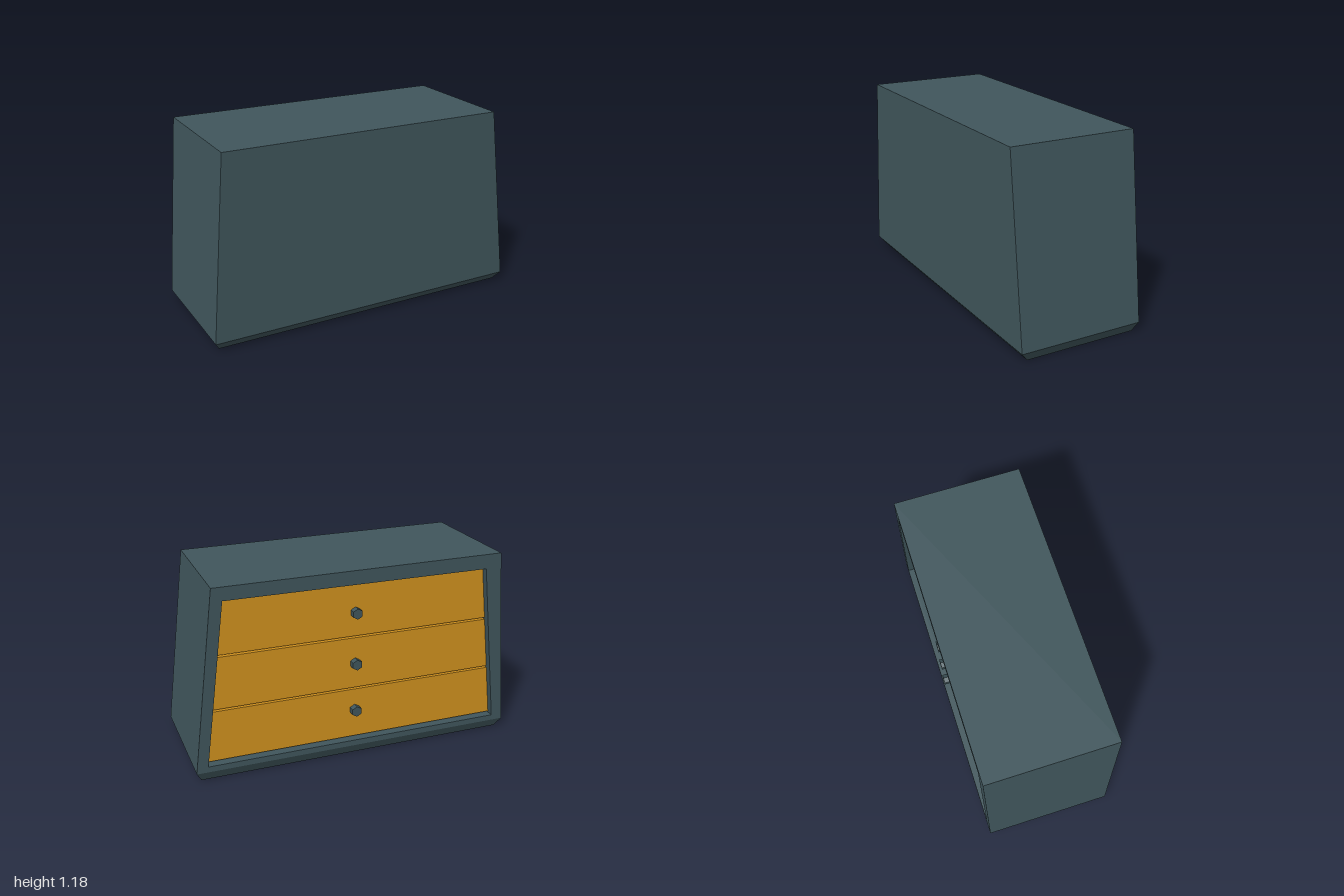
import * as THREE from 'three';

const slate = new THREE.MeshStandardMaterial({ color: 0x40565c, flatShading: true });
const amber = new THREE.MeshStandardMaterial({ color: 0xd0911e, flatShading: true });

const BACK = -0.39, FACE = -0.35, DEEP = -0.3;

// Flat panels from quads whose corners run anticlockwise seen from outside
function panels(quads) {
  const pos = quads.flatMap(([a, b, c, d]) => [a, b, c, a, c, d]).flat();
  const geo = new THREE.BufferGeometry();
  geo.setAttribute('position', new THREE.Float32BufferAttribute(pos, 3));
  geo.computeVertexNormals();
  return geo;
}

// Four corners of a level, anticlockwise from above
const level = (xr, xl, zf, zb, yr, yl = yr) =>
  [[xr, yr, zf], [xl, yl, zf], [xl, yl, zb], [xr, yr, zb]];

// Band of four quads joining two corner loops
const band = (lo, hi) => lo.map((p, i) => {
  const j = (i + 1) % 4;
  return [p, lo[j], hi[j], hi[i]];
});

// Slanted sides of the drawer opening
const OPEN_LOW = 0.095, OPEN_HIGH = 1.09;
const along = (a, b, y) => a + (b - a) * (y - OPEN_LOW) / (OPEN_HIGH - OPEN_LOW);
const leftEdge = y => along(0.93, 0.8, y);
const rightEdge = y => along(-0.925, -0.815, y);

function cabinet() {
  const foot = level(-0.965, 0.97, 0.34, -0.36, 0);
  const base = level(-1, 1, 0.39, BACK, 0.06);
  const top = level(-0.91, 0.86, 0.39, BACK, 1.18, 1.17);
  const opening = z => [
    [leftEdge(OPEN_LOW), OPEN_LOW, z], [rightEdge(OPEN_LOW), OPEN_LOW, z],
    [rightEdge(OPEN_HIGH), OPEN_HIGH, z], [leftEdge(OPEN_HIGH), OPEN_HIGH, z]];
  const walls = band(base, top).filter((q, i) => i !== 2);
  const rim = [base[2], base[3], top[3], top[2]];
  return panels([
    [...foot].reverse(), ...band(foot, base), ...walls, top,
    ...band(rim, opening(BACK)),
    ...band(opening(BACK), opening(DEEP)), opening(DEEP)]);
}

// Drawer block that follows the taper of the opening
function drawer(y0, y1) {
  const gap = 0.002;
  const shape = new THREE.Shape([
    [rightEdge(y0) + gap, y0], [leftEdge(y0) - gap, y0],
    [leftEdge(y1) - gap, y1], [rightEdge(y1) + gap, y1]
  ].map(p => new THREE.Vector2(...p)));
  const geo = new THREE.ExtrudeGeometry(shape, { depth: DEEP - FACE, bevelEnabled: false });
  return geo.translate(0, 0, FACE);
}

export function createModel() {
  const model = new THREE.Group();
  const add = (name, geo, mat) => {
    const mesh = new THREE.Mesh(geo, mat);
    mesh.name = name;
    model.add(mesh);
    return mesh;
  };

  add('cabinet', cabinet(), slate);

  // Drawers from bottom to top: lower edge, upper edge, knob height
  const rows = [[0.105, 0.419, 0.285], [0.431, 0.75, 0.59], [0.762, 1.083, 0.91]];
  const names = ['bottom', 'middle', 'top'];
  rows.forEach(([y0, y1, yKnob], i) => {
    add(names[i] + 'Drawer', drawer(y0, y1), amber);
    const knobGeo = new THREE.CylinderGeometry(0.033, 0.033, FACE - BACK, 6).rotateX(Math.PI / 2);
    add(names[i] + 'Knob', knobGeo, slate).position.set(0.01, yKnob, (FACE + BACK) / 2);
  });

  return model;
}
